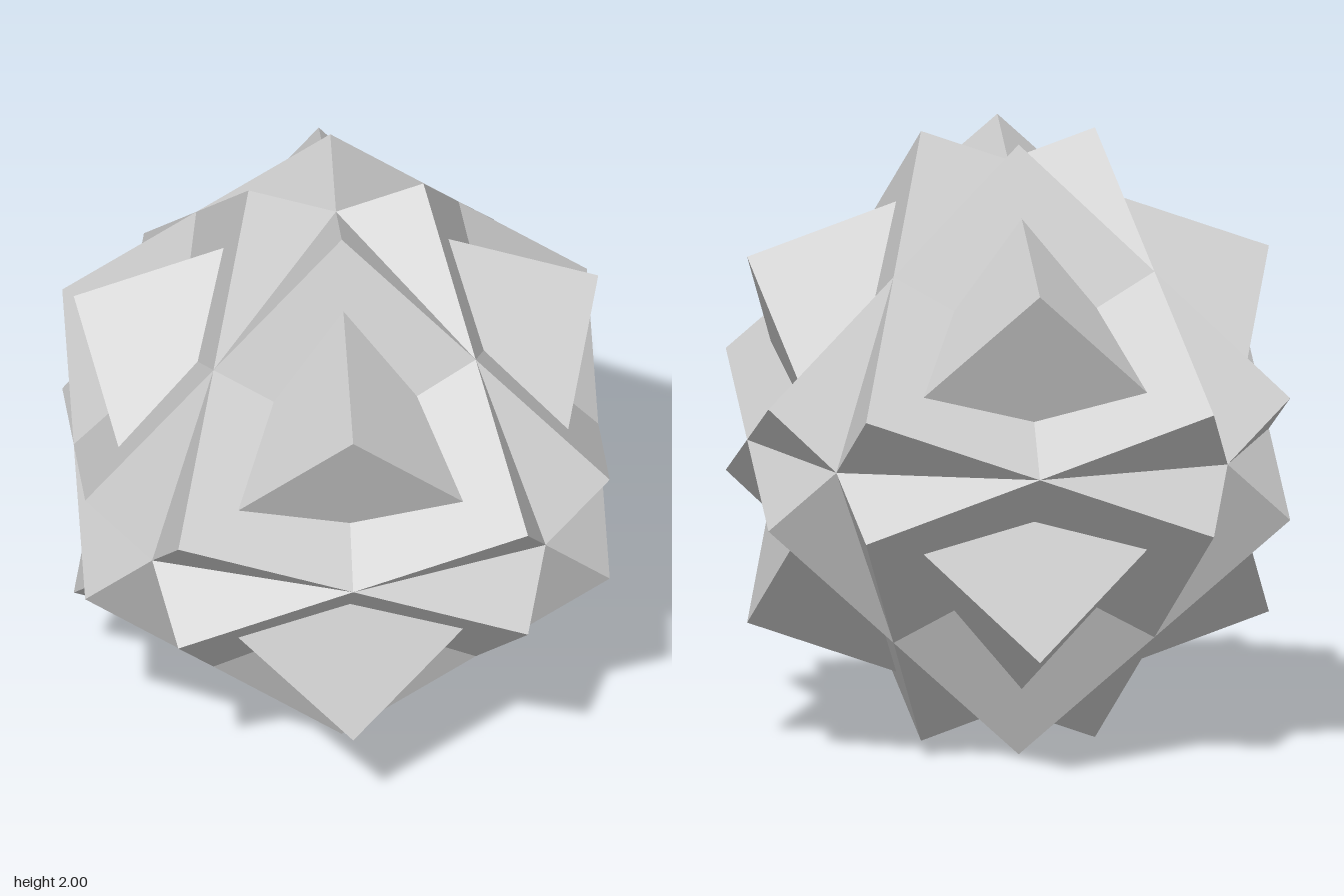
import * as THREE from 'three';

// Compound of four equal cubes, each turned 60 degrees about a different body diagonal.
export function createModel() {
  const group = new THREE.Group();
  group.name = 'fourCubeCompound';
  const material = new THREE.MeshStandardMaterial({ color: 0xcccccc, flatShading: true });
  const cube = new THREE.BoxGeometry(1.2, 1.2, 1.2);

  const diagonals = [[1, 1, 1], [-1, 1, 1], [1, 1, -1], [-1, 1, -1]];
  diagonals.forEach((d, i) => {
    const mesh = new THREE.Mesh(cube, material);
    mesh.name = `cube${i + 1}`;
    mesh.quaternion.setFromAxisAngle(new THREE.Vector3(...d).normalize(), Math.PI / 3);
    mesh.position.y = 1;
    group.add(mesh);
  });
  return group;
}
